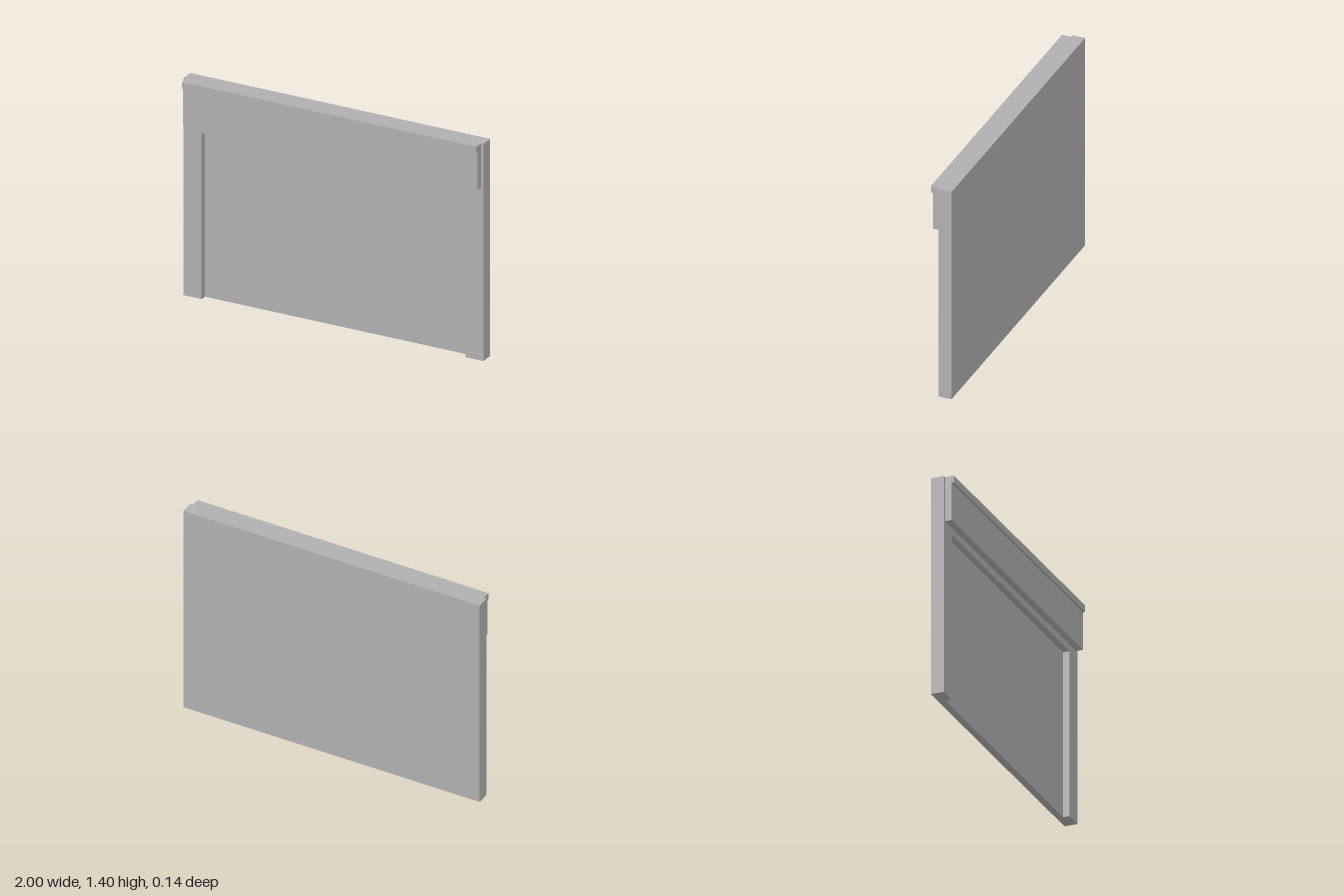
import * as THREE from 'three';

const BACK = -0.07, PANEL_FRONT = -0.027, FRAME_FRONT = 0.013, FASCIA_FRONT = 0.055, TRIM_FRONT = 0.07;
const HEIGHT = 1.4;

export function createModel() {
  const model = new THREE.Group();
  const grey = new THREE.MeshStandardMaterial({ color: 0xb0b0b0 });
  grey.name = 'grey';

  const add = (name, geometry) => {
    const mesh = new THREE.Mesh(geometry, grey);
    mesh.name = name;
    model.add(mesh);
    return mesh;
  };

  // Box centred on x, given by its bottom, top, back and front
  const slab = (name, width, y0, y1, z0, z1) =>
    add(name, new THREE.BoxGeometry(width, y1 - y0, z1 - z0))
      .position.set(0, (y0 + y1) / 2, (z0 + z1) / 2);

  // Recessed panel that closes the opening and forms the back
  slab('backPanel', 2, 0, HEIGHT, BACK, PANEL_FRONT);

  // Two jambs and a header around the opening, as one piece
  const outline = new THREE.Shape([
    [-1, 0], [-0.88, 0], [-0.88, 1.07], [0.88, 1.07],
    [0.88, 0], [1, 0], [1, HEIGHT], [-1, HEIGHT],
  ].map(([x, y]) => new THREE.Vector2(x, y)));
  add('openingFrame', new THREE.ExtrudeGeometry(outline, {
    depth: FRAME_FRONT - PANEL_FRONT, bevelEnabled: false,
  })).position.z = PANEL_FRONT;

  // Fascia board across the header, with a projecting top trim
  slab('fasciaBoard', 1.964, 1.115, 1.357, FRAME_FRONT, FASCIA_FRONT);
  slab('topTrim', 1.964, 1.357, HEIGHT, FRAME_FRONT, TRIM_FRONT);

  return model;
}
